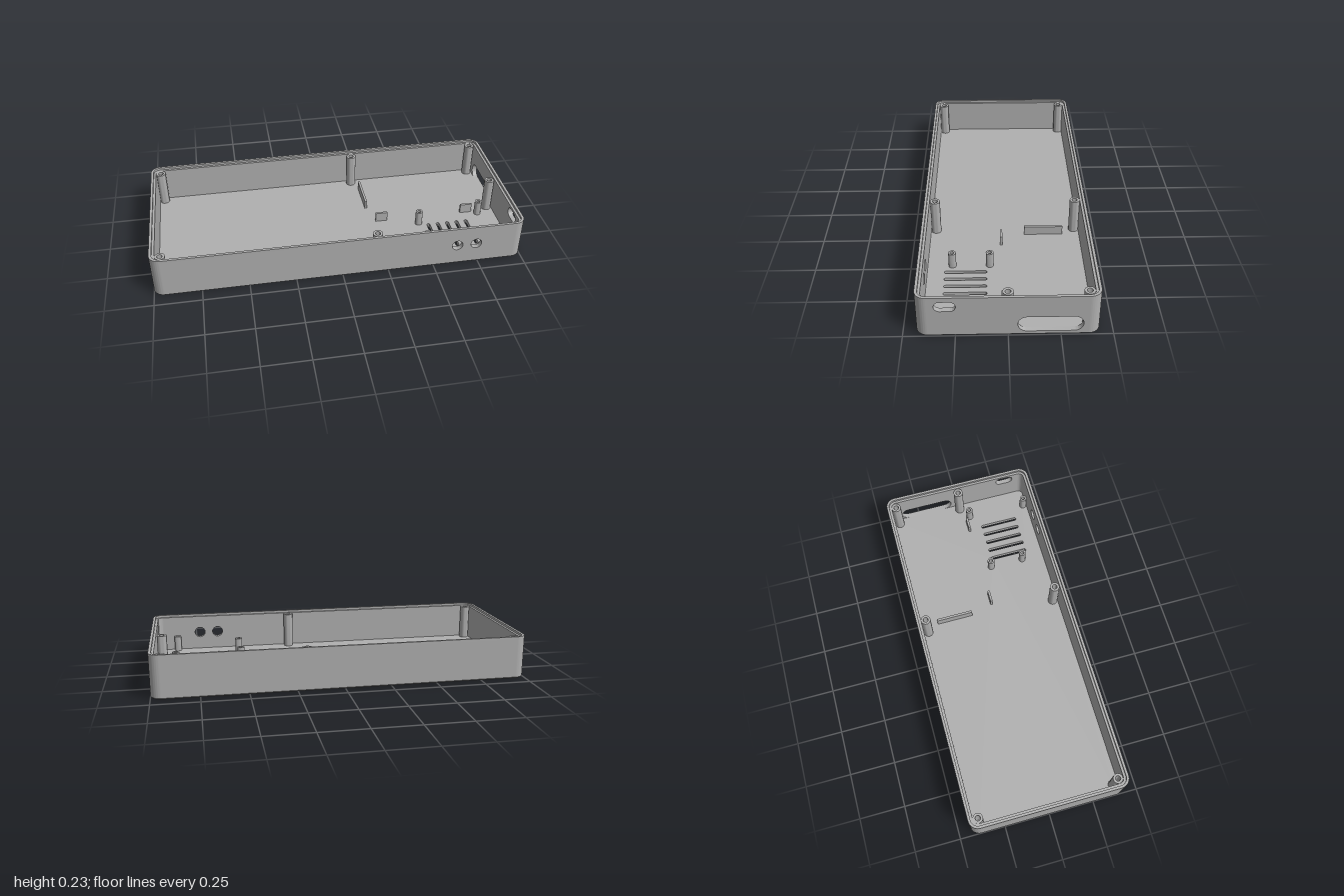
import * as THREE from 'three';
import { toCreasedNormals } from 'three/addons/utils/BufferGeometryUtils.js';

const W = 1, D = 0.436;          // half width and half depth
const H = 0.235, STEP = 0.222;   // rim height and height of the inner ledge
const FLOOR = 0.025, CHAMFER = 0.008;
const WALL = 0.027, LIP = 0.014; // wall and rim thickness
const R = 0.055;                 // outer corner radius

// Rounded rectangle centred on (x, y)
function roundedRect(Type, x, y, hw, hh, r) {
  const s = new Type();
  s.absarc(x + hw - r, y + hh - r, r, 0, Math.PI / 2);
  s.absarc(x - hw + r, y + hh - r, r, Math.PI / 2, Math.PI);
  s.absarc(x - hw + r, y - hh + r, r, Math.PI, Math.PI * 1.5);
  s.absarc(x + hw - r, y - hh + r, r, Math.PI * 1.5, Math.PI * 2);
  s.closePath();
  return s;
}
const outline = (Type, inset) => roundedRect(Type, 0, 0, W - inset, D - inset, R - inset);

function circle(Type, x, y, r) {
  const s = new Type();
  s.absarc(x, y, r, 0, Math.PI * 2);
  return s;
}

function extrude(shape, depth) {
  return toCreasedNormals(new THREE.ExtrudeGeometry(shape,
    { depth, bevelEnabled: false, curveSegments: 12 }), 0.6);
}

// Extrude a plan shape (x, -z) upwards from y0 to y1
function slab(shape, y0, y1) {
  return extrude(shape, y1 - y0).rotateX(-Math.PI / 2).translate(0, y0, 0);
}

export function createModel() {
  const group = new THREE.Group();
  const grey = new THREE.MeshStandardMaterial({ color: 0xb0b0b0 });
  grey.name = 'plastic grey';
  const add = (name, geometry) => {
    const mesh = new THREE.Mesh(geometry, grey);
    mesh.name = name;
    group.add(mesh);
    return mesh;
  };

  // Floor with ventilation slots, and the underside with round foot recesses
  const vents = () => [0.561, 0.617, 0.673, 0.729, 0.785].map(
    (x) => roundedRect(THREE.Path, x, -0.21, 0.0095, 0.11, 0.009));
  const floor = outline(THREE.Shape, WALL);
  floor.holes = vents();
  add('floor', slab(floor, CHAMFER, FLOOR));

  const underside = outline(THREE.Shape, CHAMFER);
  underside.holes = vents();
  for (const x of [-0.92, 0.92]) for (const z of [-0.355, 0.355]) {
    underside.holes.push(circle(THREE.Path, x, -z, 0.044));
  }
  add('underside', slab(underside, 0, CHAMFER));

  // Chamfer around the bottom edge
  const low = outline(THREE.Shape, CHAMFER).getPoints(12);
  const high = outline(THREE.Shape, 0).getPoints(12);
  const strip = [];
  for (let i = 0; i < low.length; i++) {
    const j = (i + 1) % low.length;
    const a = [low[i].x, 0, -low[i].y], b = [low[j].x, 0, -low[j].y];
    const c = [high[j].x, CHAMFER, -high[j].y], d = [high[i].x, CHAMFER, -high[i].y];
    strip.push(...a, ...b, ...c, ...a, ...c, ...d);
  }
  const chamfer = new THREE.BufferGeometry();
  chamfer.setAttribute('position', new THREE.Float32BufferAttribute(strip, 3));
  add('bottomChamfer', toCreasedNormals(chamfer, 0.6));

  // Straight walls, drawn face on and turned into place
  function wall(name, half, distance, angle, holes = []) {
    const s = new THREE.Shape([[-half, CHAMFER], [half, CHAMFER], [half, STEP], [-half, STEP]]
      .map(([x, y]) => new THREE.Vector2(x, y)));
    s.holes = holes;
    add(name, extrude(s, WALL).translate(0, 0, distance - WALL).rotateY(angle));
  }
  wall('frontWall', W - R, D, 0, [
    circle(THREE.Path, 0.625, 0.125, 0.03),
    circle(THREE.Path, 0.73, 0.125, 0.03),
  ]);
  wall('backWall', W - R, D, Math.PI);
  wall('leftWall', D - R, W, Math.PI / 2, [
    roundedRect(THREE.Path, -0.295, 0.181, 0.051, 0.0275, 0.027),
    roundedRect(THREE.Path, 0.2, 0.0685, 0.155, 0.0435, 0.043),
  ]);
  wall('rightWall', D - R, W, -Math.PI / 2);

  // Rounded corners
  for (let i = 0; i < 4; i++) {
    const a = i * Math.PI / 2, b = a + Math.PI / 2;
    const cx = (i === 0 || i === 3 ? 1 : -1) * (W - R);
    const cy = (i < 2 ? 1 : -1) * (D - R);
    const s = new THREE.Shape();
    s.absarc(cx, cy, R, a, b, false);
    s.absarc(cx, cy, R - WALL, b, a, true);
    s.closePath();
    add('cornerWall', slab(s, CHAMFER, STEP));
  }

  // Thin raised rim above the ledge
  const rim = outline(THREE.Shape, 0);
  rim.holes = [outline(THREE.Path, LIP)];
  add('rim', slab(rim, STEP, H));

  // Tall screw posts and short board standoffs
  function post(name, x, z, radius, bore, top) {
    const s = circle(THREE.Shape, 0, 0, radius);
    s.holes = [circle(THREE.Path, 0, 0, bore)];
    add(name, slab(s, FLOOR - 0.002, top)).position.set(x, 0, z);
  }
  for (const [x, z] of [[-0.945, -0.382], [0.195, -0.382], [0.942, -0.382],
    [0.942, 0], [-0.945, 0.38], [0.195, 0.38]]) {
    post('screwPost', x, z, 0.027, 0.014, STEP);
  }
  for (const [x, z] of [[0.507, 0.085], [0.507, 0.28], [0.873, 0.047], [0.864, 0.388]]) {
    post('boardStandoff', x, z, 0.02, 0.01, 0.11);
  }

  // Upright retaining plates
  function plate(name, x, z, w, d, top) {
    const h = top - FLOOR + 0.002;
    add(name, new THREE.BoxGeometry(w, h, d)).position.set(x, top - h / 2, z);
  }
  plate('longPlate', 0.235, -0.212, 0.013, 0.21, 0.075);
  plate('shortPlate', 0.3, 0.022, 0.068, 0.013, 0.08);
  plate('shortPlate', 0.808, 0.022, 0.068, 0.013, 0.08);

  return group;
}
